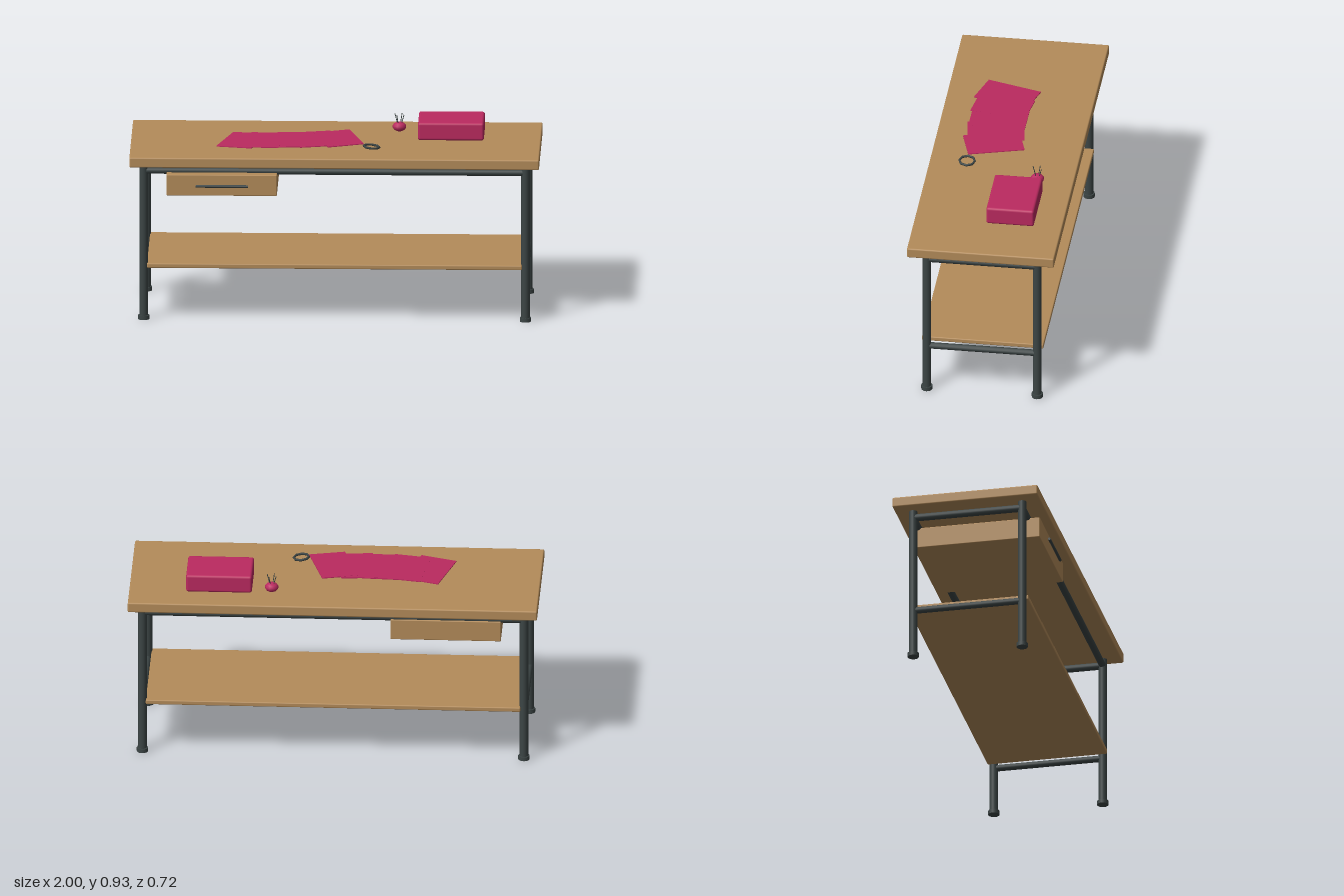
import * as THREE from 'three';
import { RoundedBoxGeometry } from 'three/addons/geometries/RoundedBoxGeometry.js';

const material = (name, color) => {
  const m = new THREE.MeshStandardMaterial({ color });
  m.name = name;
  return m;
};

export function createModel() {
  const wood = material('wood', 0xb48c5a);
  const metal = material('dark metal', 0x3c4545);
  const cloth = material('crimson cloth', 0xbb2a60);

  const model = new THREE.Group();
  model.name = 'sewingTable';

  const add = (name, geometry, mat, x, y, z, parent = model) => {
    const mesh = new THREE.Mesh(geometry, mat);
    mesh.name = name;
    mesh.position.set(x, y, z);
    parent.add(mesh);
    return mesh;
  };
  const box = (w, h, d, r) => new RoundedBoxGeometry(w, h, d, 2, r);
  // Cylinder lying along the x or z axis
  const rod = (length, radius, axis) => {
    const g = new THREE.CylinderGeometry(radius, radius, length, 12);
    return axis === 'x' ? g.rotateZ(Math.PI / 2) : g.rotateX(Math.PI / 2);
  };

  // Wooden boards
  add('tabletop', box(2, 0.051, 0.724, 0.007), wood, 0, 0.811, 0);
  add('shelf', box(1.83, 0.023, 0.598, 0.005), wood, 0, 0.275, 0);

  // Legs with feet, and the tubes joining them
  const legX = 0.932, legZ = 0.272;
  for (const sx of [-1, 1]) {
    for (const sz of [-1, 1]) {
      add('leg', new THREE.CylinderGeometry(0.021, 0.021, 0.765, 16), metal, sx * legX, 0.3985, sz * legZ);
      add('foot', new THREE.CylinderGeometry(0.028, 0.028, 0.02, 12), metal, sx * legX, 0.01, sz * legZ);
    }
    add('upperSideRail', rod(2 * legZ, 0.018, 'z'), metal, sx * legX, 0.748, 0);
    add('lowerSideRail', rod(2 * legZ, 0.016, 'z'), metal, sx * legX, 0.249, 0);
  }
  for (const sz of [-1, 1]) add('longRail', rod(2 * legX, 0.017, 'x'), metal, 0, 0.75, sz * legZ);

  // Drawer with a slim bar handle
  add('drawer', box(0.54, 0.105, 0.63, 0.004), wood, -0.55, 0.6925, 0.02);
  add('drawerHandle', rod(0.255, 0.007, 'x'), metal, -0.548, 0.692, 0.352);

  // Fabric box
  add('fabricBox', box(0.322, 0.089, 0.235, 0.012), cloth, 0.561, 0.883, -0.108);

  // Fan of overlapping fabric swatches: x, z, turn
  const swatches = new THREE.Group();
  swatches.name = 'fabricSwatches';
  model.add(swatches);
  [
    [-0.455, 0.065, -0.28],
    [-0.345, 0.073, -0.14],
    [-0.22, 0.075, 0],
    [-0.1, 0.073, 0.14],
    [0.015, 0.068, 0.28],
  ].forEach(([x, z, turn], i) => {
    const s = add('swatch', new THREE.BoxGeometry(0.18, 0.004, 0.278), cloth, x, 0.85 + i * 0.0032, z, swatches);
    s.rotation.set(0, turn, 0.025);
  });

  // Faceted ring beside the swatches
  const ring = add('ring', new THREE.TorusGeometry(0.038, 0.006, 6, 8).rotateX(Math.PI / 2), metal, 0.178, 0.852, 0.177);
  ring.rotation.z = -0.1;

  // Pincushion with pins
  const pincushion = new THREE.Group();
  pincushion.name = 'pincushion';
  pincushion.position.set(0.305, 0.858, -0.186);
  model.add(pincushion);
  add('cushion', new THREE.SphereGeometry(0.034, 10, 7).scale(1, 0.7, 1), cloth, 0, 0, 0, pincushion);
  for (let i = 0; i < 4; i++) {
    const a = i * Math.PI / 2 + 0.5;
    const pin = add('pin', new THREE.CylinderGeometry(0.002, 0.002, 0.058, 5), metal,
      Math.cos(a) * 0.017, 0.034, Math.sin(a) * 0.017, pincushion);
    pin.rotation.set(Math.sin(a) * 0.3, 0, -Math.cos(a) * 0.3);
  }
  return model;
}
